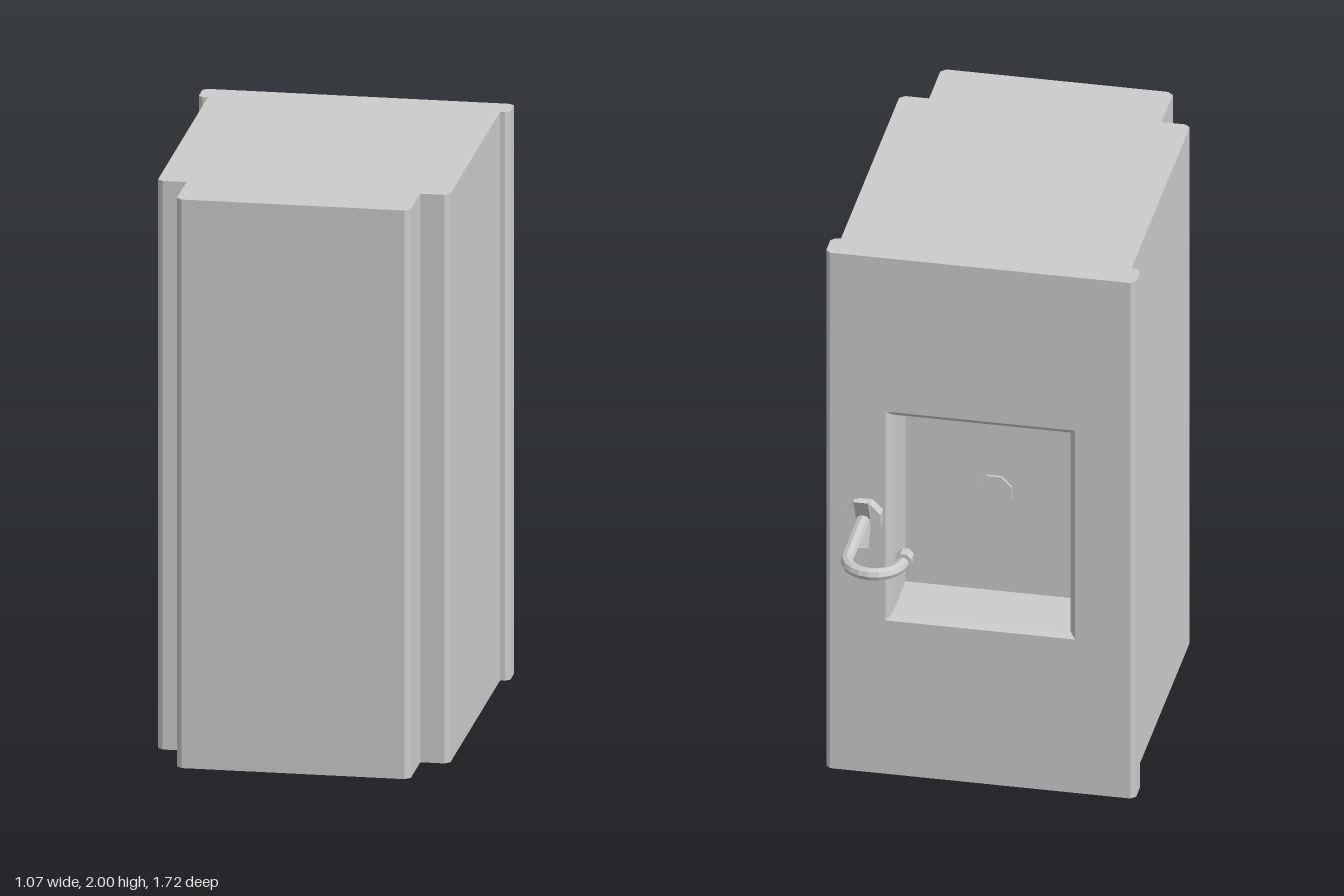
import * as THREE from 'three';

const material = new THREE.MeshStandardMaterial({ color: 0xcccccc, flatShading: true });
const BACK = -0.44, HEIGHT = 2;

function add(parent, name, geometry, x = 0, y = 0, z = 0) {
  const mesh = new THREE.Mesh(geometry, material);
  mesh.name = name;
  mesh.position.set(x, y, z);
  parent.add(mesh);
  return mesh;
}

// Joins successive rings of [x, y, z] points with quads
function loft(rings, closed) {
  const n = rings[0].length, index = [];
  for (let r = 0; r < rings.length - 1; r++) {
    for (let i = 0; i < (closed ? n : n - 1); i++) {
      const a = r * n + i, b = r * n + (i + 1) % n;
      index.push(a, b, b + n, a, b + n, a + n);
    }
  }
  const g = new THREE.BufferGeometry();
  g.setAttribute('position', new THREE.Float32BufferAttribute(rings.flat(2), 3));
  g.setIndex(index);
  const flat = g.toNonIndexed();
  flat.computeVertexNormals();
  return flat;
}

const polygon = (points) => new THREE.Shape(points.map(([x, y]) => new THREE.Vector2(x, y)));

// Eight-sided prism along z, with flat sides or corners on the axes
function octPrism(radius, length, flats = true) {
  const g = new THREE.CylinderGeometry(radius, radius, length, 8);
  if (flats) g.rotateY(Math.PI / 8);
  return g.rotateX(Math.PI / 2);
}

export function createModel() {
  const model = new THREE.Group();
  model.name = 'sinkCabinet';

  // Stepped outline in x and z: worktop, cabinet, recessed plinth
  const half = [
    [0.517, BACK], [0.533, -0.424], [0.533, -0.357], [0.517, -0.34], [0.5, -0.34],
    [0.5, 0.638], [0.482, 0.655], [0.4, 0.655], [0.4, 0.842], [0.382, 0.86],
  ];
  const outline = [...half, ...half.map(([x, z]) => [-x, z]).reverse()];

  const cabinet = new THREE.Group();
  cabinet.name = 'cabinet';
  model.add(cabinet);
  add(cabinet, 'cabinetWalls', loft([HEIGHT, 0].map((y) => outline.map(([x, z]) => [x, y, z])), false));
  add(cabinet, 'upperEnd', new THREE.ShapeGeometry(polygon(outline.map(([x, z]) => [x, -z]))).rotateX(-Math.PI / 2), 0, HEIGHT);
  add(cabinet, 'lowerEnd', new THREE.ShapeGeometry(polygon(outline)).rotateX(Math.PI / 2));

  // Worktop face with the basin opening
  const rect = (w, h) => [[w, 1 + h], [w, 1 - h], [-w, 1 - h], [-w, 1 + h]];
  const face = polygon([[-0.517, 0], [0.517, 0], [0.517, HEIGHT], [-0.517, HEIGHT]]);
  face.holes.push(polygon(rect(0.326, 0.405)));
  add(cabinet, 'worktopFace', new THREE.ShapeGeometry(face).rotateY(Math.PI), 0, 0, BACK);

  // Basin: bevelled lip, straight walls, floor and drain
  const floorZ = BACK + 0.24;
  const basin = new THREE.Group();
  basin.name = 'basin';
  model.add(basin);
  const rings = [[0.326, 0.405, BACK], [0.306, 0.385, BACK + 0.02], [0.306, 0.385, floorZ]]
    .map(([w, h, z]) => rect(w, h).map(([x, y]) => [x, y, z]));
  add(basin, 'basinWalls', loft(rings, true));
  add(basin, 'basinFloor', new THREE.PlaneGeometry(0.612, 0.77).rotateY(Math.PI), 0, 1, floorZ);
  add(basin, 'drain', octPrism(0.066, 0.02), 0, 1, floorZ);

  // Tap: base, straight pipe, swan-neck bend and nozzle
  const tap = new THREE.Group();
  tap.name = 'tap';
  tap.position.set(0.395, 1, 0);
  model.add(tap);
  const bend = 0.095, bendZ = -0.743;
  add(tap, 'tapBase', octPrism(0.065, 0.04), 0, 0, BACK - 0.02);
  add(tap, 'tapPipe', octPrism(0.022, 0.283, false), 0, 0, bendZ + 0.1415);
  add(tap, 'tapBend', new THREE.TorusGeometry(bend, 0.022, 8, 10, Math.PI).rotateX(-Math.PI / 2), -bend, 0, bendZ);
  add(tap, 'tapNozzle', octPrism(0.03, 0.042), -2 * bend, 0, -0.711);

  // Pair of slanted lever handles
  for (const side of [1, -1]) {
    const lever = add(tap, 'tapLever', new THREE.BoxGeometry(0.05, 0.09, 0.014), 0, side * 0.05, -0.494);
    lever.rotation.x = -side * 0.45;
  }
  return model;
}
